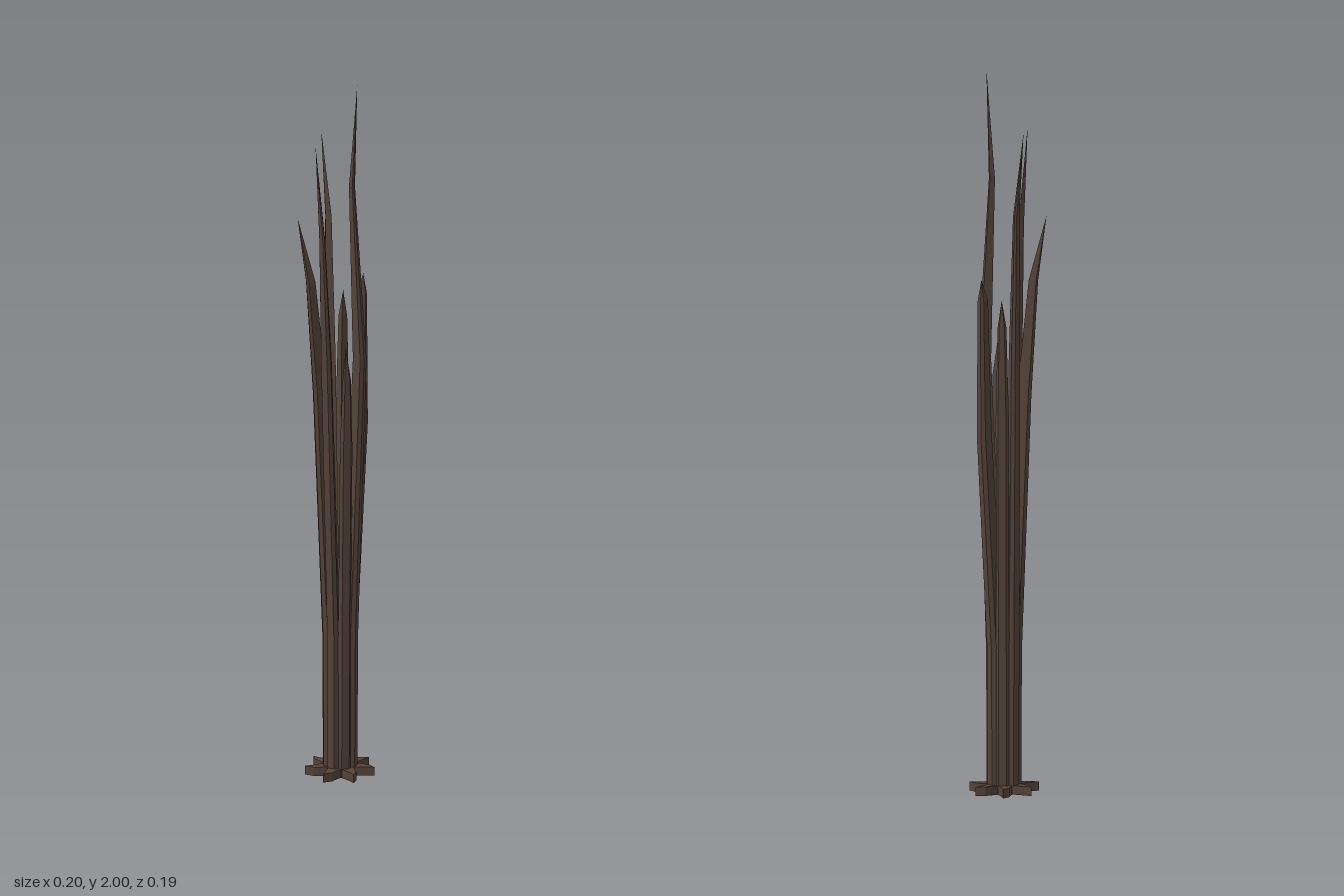
import * as THREE from 'three';

const COUNT = 7, STEP = Math.PI * 2 / COUNT;
const material = new THREE.MeshStandardMaterial({ color: 0x54433a, roughness: 1, flatShading: true });

// One splinter: wedge sections [y, inner, outer, halfWidth, sideways] running up to a pointed tip.
function splinter(angle, sections, tip) {
  const c = Math.cos(angle), s = Math.sin(angle), pos = [];
  const rings = sections.map(([y, inner, outer, w, side = 0]) => {
    const mid = inner + (outer - inner) * 0.75;
    return [[inner, 0], [mid, -w], [outer, -w * 0.6], [outer, w * 0.6], [mid, w]]
      .map(([u, v]) => [u * c - (v + side) * s, y, u * s + (v + side) * c]);
  });
  const tri = (a, b, d) => pos.push(...a, ...b, ...d);
  const n = rings[0].length;
  for (let k = 0; k < rings.length; k++) {
    for (let i = 0; i < n; i++) {
      const j = (i + 1) % n, a = rings[k][i], b = rings[k][j], up = rings[k + 1];
      if (up) {
        tri(a, up[i], b);
        tri(b, up[i], up[j]);
      } else tri(a, tip, b);
    }
  }
  for (let i = 1; i < n - 1; i++) tri(rings[0][0], rings[0][i], rings[0][i + 1]);
  const geo = new THREE.BufferGeometry();
  geo.setAttribute('position', new THREE.Float32BufferAttribute(pos, 3));
  geo.computeVertexNormals();
  return geo;
}

// Flat star foot with hooked arms
function footGeometry() {
  const arm = [[0.044, -26], [0.058, -15], [0.078, -7], [0.097, 5], [0.08, 7], [0.056, 15]];
  const points = [];
  for (let i = 0; i < COUNT; i++) {
    for (const [r, deg] of arm) {
      const a = 0.1 + i * STEP + THREE.MathUtils.degToRad(deg);
      points.push(new THREE.Vector2(r * Math.cos(a), r * Math.sin(a)));
    }
  }
  const geo = new THREE.ExtrudeGeometry(new THREE.Shape(points), { depth: 0.025, bevelEnabled: false });
  return geo.rotateX(Math.PI / 2).translate(0, 0.025, 0);
}

// Upper part of each splinter, in order around the trunk from +x towards +z
const splinters = [
  { top: [[1.0, 0.04, 0.082, 0.017], [1.37, 0.052, 0.081, 0.012]], tip: [0.07, 1.43, 0.02] },
  { top: [[1.2, 0.037, 0.073, 0.016], [1.7, 0.03, 0.046, 0.007, 0.012]], tip: [0.005, 2.0, 0.06] },
  { top: [[0.95, 0.022, 0.062, 0.018], [1.15, 0.037, 0.064, 0.012]], tip: [-0.03, 1.245, 0.05] },
  { top: [[1.2, 0.042, 0.08, 0.016], [1.56, 0.075, 0.095, 0.009]], tip: [-0.1, 1.835, 0.003] },
  { top: [[1.1, 0.035, 0.074, 0.017], [1.42, 0.068, 0.093, 0.011]], tip: [-0.08, 1.6, -0.084] },
  { top: [[1.2, 0.018, 0.052, 0.016], [1.6, 0.034, 0.053, 0.009]], tip: [-0.002, 1.84, -0.07] },
  { top: [[1.05, 0.022, 0.058, 0.018], [1.3, 0.037, 0.062, 0.012]], tip: [0.045, 1.375, -0.032] },
];

export function createModel() {
  const group = new THREE.Group();
  group.name = 'splinteredTrunk';

  const foot = new THREE.Mesh(footGeometry(), material);
  foot.name = 'foot';
  group.add(foot);

  splinters.forEach(({ top, tip }, i) => {
    const base = [[0.002, 0, 0.046, 0.018], [0.4, 0.001, 0.048, 0.018]];
    const mesh = new THREE.Mesh(splinter(0.26 + i * STEP, [...base, ...top], tip), material);
    mesh.name = 'splinter' + (i + 1);
    group.add(mesh);
  });
  return group;
}
